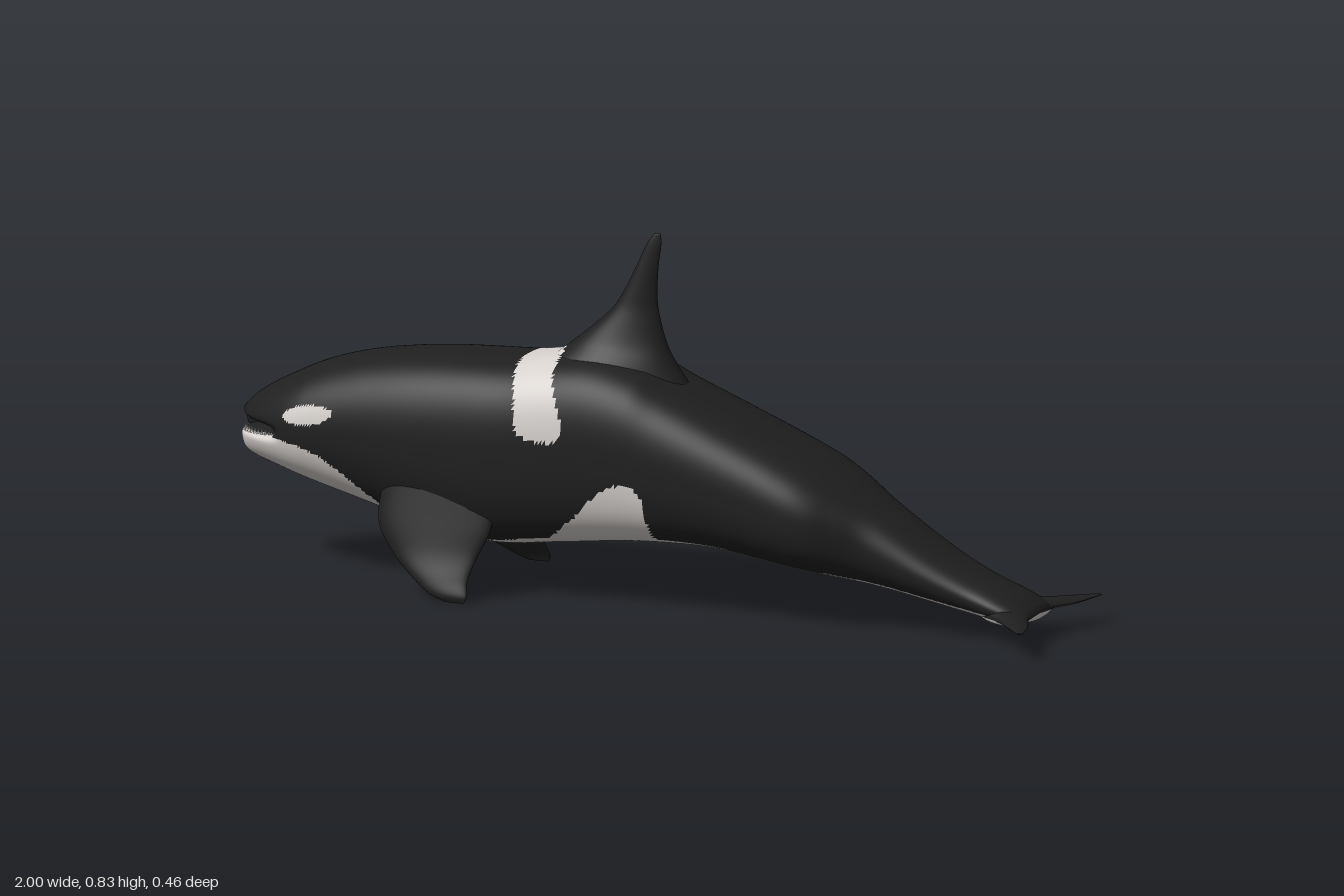
import * as THREE from 'three';

const black = new THREE.MeshStandardMaterial({ color: 0x1f1f1f });
black.name = 'black skin';
const white = new THREE.MeshStandardMaterial({ color: 0xd6d1cd });
white.name = 'pale skin';

const smooth = (a, b, x) => THREE.MathUtils.smoothstep(x, a, b);

// Smooth curve through [x, value] points (cubic Hermite); straight when linear is true
function curve(pts, linear = false) {
  const slope = i => {
    const a = pts[Math.max(0, i - 1)], b = pts[Math.min(pts.length - 1, i + 1)];
    return (b[1] - a[1]) / (b[0] - a[0]);
  };
  return x => {
    const n = pts.length;
    if (x <= pts[0][0]) return pts[0][1];
    if (x >= pts[n - 1][0]) return pts[n - 1][1];
    let i = 0;
    while (x > pts[i + 1][0]) i++;
    const d = pts[i + 1][0] - pts[i][0], t = (x - pts[i][0]) / d, p = pts[i][1], q = pts[i + 1][1];
    if (linear) return p + (q - p) * t;
    const t2 = t * t, t3 = t2 * t;
    return p * (2 * t3 - 3 * t2 + 1) + q * (3 * t2 - 2 * t3)
      + d * (slope(i) * (t3 - 2 * t2 + t) + slope(i + 1) * (t3 - t2));
  };
}

// Skin over closed rings of [x, y, z]; pale(x, y, z) picks the colour of each triangle
function loft(name, rings, pale) {
  const n = rings[0].length;
  const centre = r => {
    const c = [0, 1, 2].map(k => r.reduce((s, p) => s + p[k], 0) / n);
    return r.map(() => c);
  };
  const all = [centre(rings[0]), ...rings, centre(rings[rings.length - 1])];
  const v = all.flat();
  const tris = [];
  for (let i = 0; i < all.length - 1; i++) for (let j = 0; j < n; j++) {
    const a = i * n + j, b = i * n + (j + 1) % n;
    tris.push([a, b, b + n], [a, b + n, a + n]);
  }
  // Turn the faces outward
  const V = v.map(p => new THREE.Vector3(...p)), cross = new THREE.Vector3();
  const volume = tris.reduce((s, [a, b, c]) => s + V[a].dot(cross.crossVectors(V[b], V[c])), 0);
  const dark = [], light = [];
  for (const [a, b, c] of tris) {
    const m = [0, 1, 2].map(k => (v[a][k] + v[b][k] + v[c][k]) / 3);
    (pale(...m) ? light : dark).push(...(volume > 0 ? [a, b, c] : [a, c, b]));
  }
  const g = new THREE.BufferGeometry();
  g.setAttribute('position', new THREE.Float32BufferAttribute(v.flat(), 3));
  g.setIndex([...dark, ...light]);
  g.addGroup(0, dark.length, 0);
  g.addGroup(dark.length, light.length, 1);
  g.computeVertexNormals();
  const mesh = new THREE.Mesh(g, [black, white]);
  mesh.name = name;
  return mesh;
}

// Body profiles along x
const top = curve([[-1, 0.345], [-0.98, 0.365], [-0.95, 0.39], [-0.9, 0.42], [-0.8, 0.468], [-0.7, 0.498],
  [-0.6, 0.515], [-0.5, 0.525], [-0.4, 0.53], [-0.3, 0.535], [-0.2, 0.55], [-0.1, 0.555], [0, 0.535], [0.06, 0.508],
  [0.2, 0.452], [0.4, 0.37], [0.5, 0.32], [0.6, 0.258], [0.7, 0.195], [0.8, 0.142], [0.9, 0.1], [0.945, 0.072]]);
const bottom = curve([[-1, 0.262], [-0.98, 0.245], [-0.9, 0.222], [-0.8, 0.195], [-0.7, 0.17], [-0.6, 0.145],
  [-0.5, 0.12], [-0.35, 0.105], [-0.2, 0.12], [0, 0.142], [0.2, 0.145], [0.4, 0.117], [0.6, 0.085], [0.8, 0.049],
  [0.9, 0.035], [0.945, 0.048]]);
const halfWidth = curve([[-1, 0.125], [-0.95, 0.128], [-0.9, 0.133], [-0.8, 0.15], [-0.7, 0.161], [-0.6, 0.17],
  [-0.5, 0.176], [-0.3, 0.18], [0, 0.18], [0.3, 0.178], [0.4, 0.175], [0.45, 0.165], [0.5, 0.143], [0.55, 0.121],
  [0.6, 0.111], [0.7, 0.1], [0.8, 0.091], [0.9, 0.09], [0.945, 0.07]]);
const roundness = curve([[-1, 2], [-0.7, 2.3], [-0.3, 2.8], [0.3, 2.7], [0.6, 2.2], [0.945, 2]]);
const noseWidth = x => {
  const u = Math.min(1, Math.max(0, (x + 1) / 0.2));
  return halfWidth(x) * Math.sqrt(1 - (1 - u) ** 2);
};
const mouthY = 0.318;

function bodyRing(x) {
  const c = (top(x) + bottom(x)) / 2, h = (top(x) - bottom(x)) / 2, w = noseWidth(x), e = roundness(x);
  return Array.from({ length: 120 }, (_, j) => {
    const t = j / 120 * Math.PI * 2, cs = Math.cos(t), sn = Math.sin(t);
    const r = (Math.abs(cs) ** e + Math.abs(sn) ** e) ** (-1 / e);
    const y = c + h * r * sn;
    // Slightly open mouth pressed into the snout
    const g = 0.4 * Math.exp(-(((y - mouthY) / 0.012) ** 2)) * (1 - smooth(-0.92, -0.85, x));
    return [x + Math.max(0, -0.88 - x) * g, y, w * r * cs * (1 - g)];
  });
}

// Pale markings
const bellyLine = curve([[-1, 0.303], [-0.87, 0.309], [-0.8, 0.3], [-0.75, 0.283], [-0.7, 0.25], [-0.65, 0.21],
  [-0.6, 0.16], [-0.5, 0.135], [-0.35, 0.122], [-0.2, 0.145], [-0.13, 0.2], [-0.06, 0.27], [-0.02, 0.293],
  [0.03, 0.295], [0.048, 0.275], [0.055, 0.23], [0.06, 0.168], [0.2, 0.163], [0.4, 0.135], [0.6, 0.104],
  [0.8, 0.07], [0.9, 0.058], [1, 0.056]], true);
const saddleFront = curve([[0.375, -0.23], [0.39, -0.255], [0.42, -0.265], [0.47, -0.27], [0.53, -0.295],
  [0.57, -0.315]], true);
const saddleBack = curve([[0.375, -0.17], [0.385, -0.152], [0.42, -0.145], [0.47, -0.165], [0.53, -0.193],
  [0.6, -0.21]], true);
const inSaddle = (x, y) => y > 0.375 && x > saddleFront(y) && x < saddleBack(y);
const inEyePatch = (x, y) => {
  const dx = x + 0.782, dy = y - 0.373 - dx * 0.15;
  return (dx / 0.063) ** 2 + (dy / 0.022) ** 2 < 1;
};

// Rounded blade section: s = [lead x, trail x, y, z, half thickness], thick along y or z
function bladeRing([lead, trail, y, z, th], axis) {
  return Array.from({ length: 32 }, (_, j) => {
    const t = j / 32 * Math.PI * 2;
    const x = (lead + trail) / 2 - Math.cos(t) * (trail - lead) / 2;
    const d = Math.sin(t) * th * (1 + 0.25 * Math.cos(t));
    return axis === 'y' ? [x, y + d, z] : [x, y, z + d];
  });
}

// Smoothly interpolated blade through a few sections
function blade(name, sections, axis, pale, steps = 30) {
  const cols = [0, 1, 2, 3, 4].map(k => curve(sections.map((s, i) => [i, s[k]])));
  const rings = [];
  for (let i = 0; i <= steps; i++) {
    const u = i / steps * (sections.length - 1);
    rings.push(bladeRing(cols.map(f => f(u)), axis));
  }
  return loft(name, rings, pale);
}

export function createModel() {
  const model = new THREE.Group();
  model.name = 'whale';

  // Body, with stations packed towards the nose
  const rings = [];
  for (let i = 0; i <= 230; i++) rings.push(bodyRing(-1 + 1.945 * (i / 230) ** 1.35));
  model.add(loft('body', rings, (x, y) => y < bellyLine(x) || inSaddle(x, y) || inEyePatch(x, y)));

  // Dorsal fin
  model.add(blade('dorsalFin', [
    [-0.27, 0.09, 0.49, 0, 0.11], [-0.235, 0.055, 0.54, 0, 0.085], [-0.18, 0.032, 0.585, 0, 0.055],
    [-0.105, 0.014, 0.65, 0, 0.03], [-0.07, 0.009, 0.7, 0, 0.02], [-0.04, 0.012, 0.76, 0, 0.012],
    [-0.016, 0.019, 0.81, 0, 0.006], [0.002, 0.018, 0.835, 0, 0.002],
  ], 'z', inSaddle, 50));

  // Flippers
  for (const side of [1, -1]) {
    const sections = [
      [-0.6, -0.32, 0.25, 0.13, 0.035], [-0.6, -0.325, 0.16, 0.158, 0.03], [-0.56, -0.348, 0.1, 0.18, 0.024],
      [-0.5, -0.36, 0.05, 0.205, 0.018], [-0.45, -0.355, 0.018, 0.222, 0.01], [-0.41, -0.36, 0.002, 0.225, 0.003],
    ].map(([a, b, y, z, t]) => [a, b, y, z * side, t]);
    model.add(blade(side > 0 ? 'leftFlipper' : 'rightFlipper', sections, 'z', () => false));
  }

  // Tail flukes, pale underneath
  const half = [[0.985, 1, 0.063, 0.212, 0.002], [0.94, 0.988, 0.062, 0.16, 0.007],
    [0.893, 0.968, 0.061, 0.11, 0.012], [0.83, 0.948, 0.062, 0.065, 0.018]];
  const mirrored = half.map(([a, b, y, z, t]) => [a, b, y, -z, t]).reverse();
  model.add(blade('tailFlukes', [...half, [0.8, 0.945, 0.063, 0, 0.022], ...mirrored], 'y',
    (x, y, z) => y < 0.057 && Math.abs(z) < 0.18, 48));

  // Lower teeth around the jaw
  const teeth = new THREE.Group();
  teeth.name = 'teeth';
  const toothShape = new THREE.ConeGeometry(0.0045, 0.018, 6);
  for (let i = 0; i < 11; i++) for (const side of [1, -1]) {
    const x = -0.975 + 0.105 * (i / 10) ** 1.2;
    const tooth = new THREE.Mesh(toothShape, white);
    tooth.name = 'tooth';
    tooth.position.set(x, 0.31, side * noseWidth(x) * 0.83);
    teeth.add(tooth);
  }
  model.add(teeth);
  return model;
}
